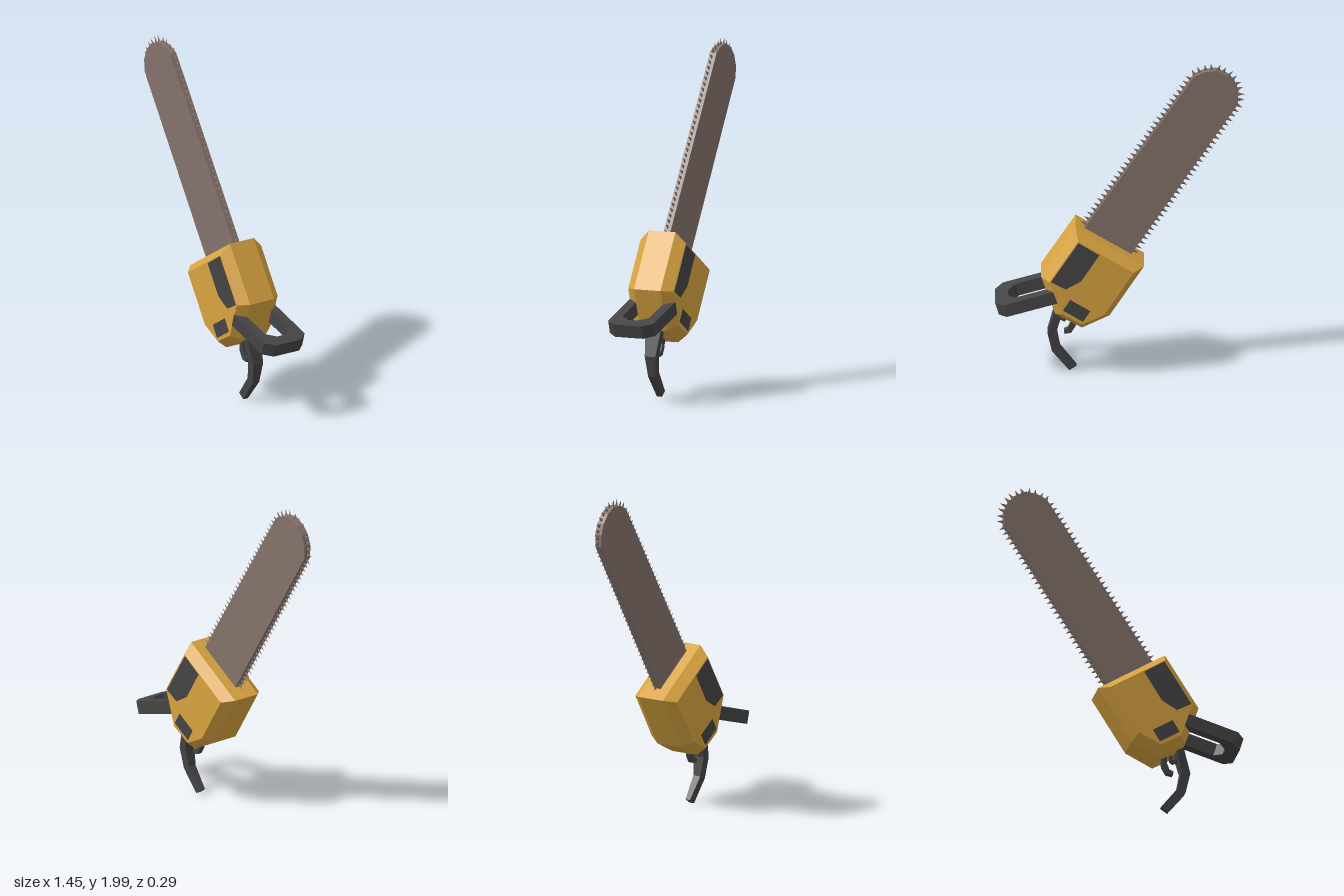
import * as THREE from 'three';
import { mergeGeometries } from 'three/addons/utils/BufferGeometryUtils.js';

const mat = (color) => new THREE.MeshStandardMaterial({ color, flatShading: true });
const yellow = mat(0xd9a440), dark = mat(0x454545), steel = mat(0x85736c);

const shapeOf = (pts) => new THREE.Shape(pts.map((p) => new THREE.Vector2(...p)));

// Flat outline extruded symmetrically about z = 0
function slab(pts, halfDepth) {
  const g = new THREE.ExtrudeGeometry(shapeOf(pts), { depth: halfDepth * 2, bevelEnabled: false });
  return g.translate(0, 0, -halfDepth);
}

export function createModel() {
  const group = new THREE.Group();
  const add = (name, geometry, material) => {
    const mesh = new THREE.Mesh(geometry, material);
    mesh.name = name;
    group.add(mesh);
    return mesh;
  };

  // Engine housing: six-sided outline with wide chamfers on both faces
  const outline = [[-0.14, 0.72], [0.06, 0.40], [0.22, 0.32], [0.375, 0.41], [0.457, 0.653], [0.256, 0.97]];
  const housing = new THREE.ExtrudeGeometry(shapeOf(outline), {
    depth: 0.17, bevelEnabled: true, bevelSegments: 1,
    bevelThickness: 0.06, bevelSize: 0.044, bevelOffset: -0.044,
  });
  add('housing', housing.translate(0, 0, -0.085), yellow);

  // Dark panels, showing on both faces of the housing
  add('largePanel', slab([[0.12, 0.823], [0.225, 0.653], [0.315, 0.6], [0.4, 0.648], [0.24, 0.902]], 0.147), dark);
  add('smallPanel', slab([[0.172, 0.458], [0.214, 0.389], [0.33, 0.463], [0.288, 0.532]], 0.147), dark);

  // Guide bar: long straight sides and a faceted round nose
  const edge = [
    [0.205, 0.938], [-0.43, 1.923], [-0.489, 1.952], [-0.557, 1.96], [-0.62, 1.928],
    [-0.663, 1.88], [-0.686, 1.817], [-0.684, 1.743], [-0.066, 0.767],
  ];
  add('blade', slab([...edge, [-0.045, 0.734], [0.226, 0.905]], 0.022), steel);

  // Saw teeth: thin spikes spaced evenly along the edge
  const path = new THREE.CurvePath();
  for (let i = 1; i < edge.length; i++) {
    path.add(new THREE.LineCurve(new THREE.Vector2(...edge[i - 1]), new THREE.Vector2(...edge[i])));
  }
  const count = Math.round(path.getLength() / 0.035);
  const teeth = [];
  for (let i = 0; i < count; i++) {
    const u = (i + 0.5) / count;
    const p = path.getPointAt(u), t = path.getTangentAt(u);
    const tooth = new THREE.ConeGeometry(0.014, 0.046, 4);
    tooth.scale(1, 1, 0.35).translate(0, 0.016, 0);
    tooth.rotateZ(Math.atan2(-t.x, t.y) - Math.PI / 2).translate(p.x, p.y, 0);
    teeth.push(tooth);
  }
  add('teeth', mergeGeometries(teeth), steel);

  // Carrying handle: U-shaped loop, tilted down away from the housing
  const half = [[-0.005, 0.085], [-0.005, 0.145], [0.305, 0.145], [0.352, 0.09]];
  const inner = [[0.275, 0.03], [0.23, 0.085]];
  const mirror = (pts) => pts.map(([x, z]) => [x, -z]).reverse();
  const loop = [...half, ...mirror(half), ...mirror(inner), ...inner];
  const handle = add('carryHandle', slab(loop, 0.039).rotateX(Math.PI / 2), dark);
  handle.position.set(0.374, 0.545, 0);
  handle.rotation.z = Math.atan2(-0.283, 0.959);

  // Rear grip: rectangular sections [left x, y, right x, y, half width], bent and tapering
  const sections = [
    [0.315, 0.44, 0.365, 0.46, 0.055], [0.335, 0.39, 0.377, 0.41, 0.049],
    [0.367, 0.267, 0.42, 0.257, 0.034], [0.346, 0.156, 0.394, 0.135, 0.024],
    [0.251, 0.034, 0.293, 0.006, 0.016],
  ];
  const pos = [], index = [];
  sections.forEach(([lx, ly, rx, ry, w], i) => {
    pos.push(lx, ly, w, rx, ry, w, rx, ry, -w, lx, ly, -w);
    if (!i) return;
    for (let k = 0; k < 4; k++) {
      const a = (i - 1) * 4 + k, b = (i - 1) * 4 + ((k + 1) % 4);
      index.push(a, a + 4, b + 4, a, b + 4, b);
    }
  });
  const end = (sections.length - 1) * 4;
  index.push(0, 1, 2, 0, 2, 3, end, end + 2, end + 1, end, end + 3, end + 2);
  const grip = new THREE.BufferGeometry();
  grip.setAttribute('position', new THREE.Float32BufferAttribute(pos, 3));
  grip.setIndex(index);
  grip.computeVertexNormals();
  add('rearGrip', grip, dark);

  // Trigger hook and the small catch behind it
  add('trigger', slab([
    [0.25, 0.37], [0.256, 0.295], [0.282, 0.25], [0.32, 0.243], [0.325, 0.265],
    [0.3, 0.277], [0.285, 0.315], [0.284, 0.37],
  ], 0.016), dark);
  add('triggerCatch', slab([
    [0.3, 0.37], [0.303, 0.338], [0.322, 0.32], [0.352, 0.337], [0.352, 0.35], [0.325, 0.34], [0.317, 0.37],
  ], 0.012), dark);

  return group;
}
